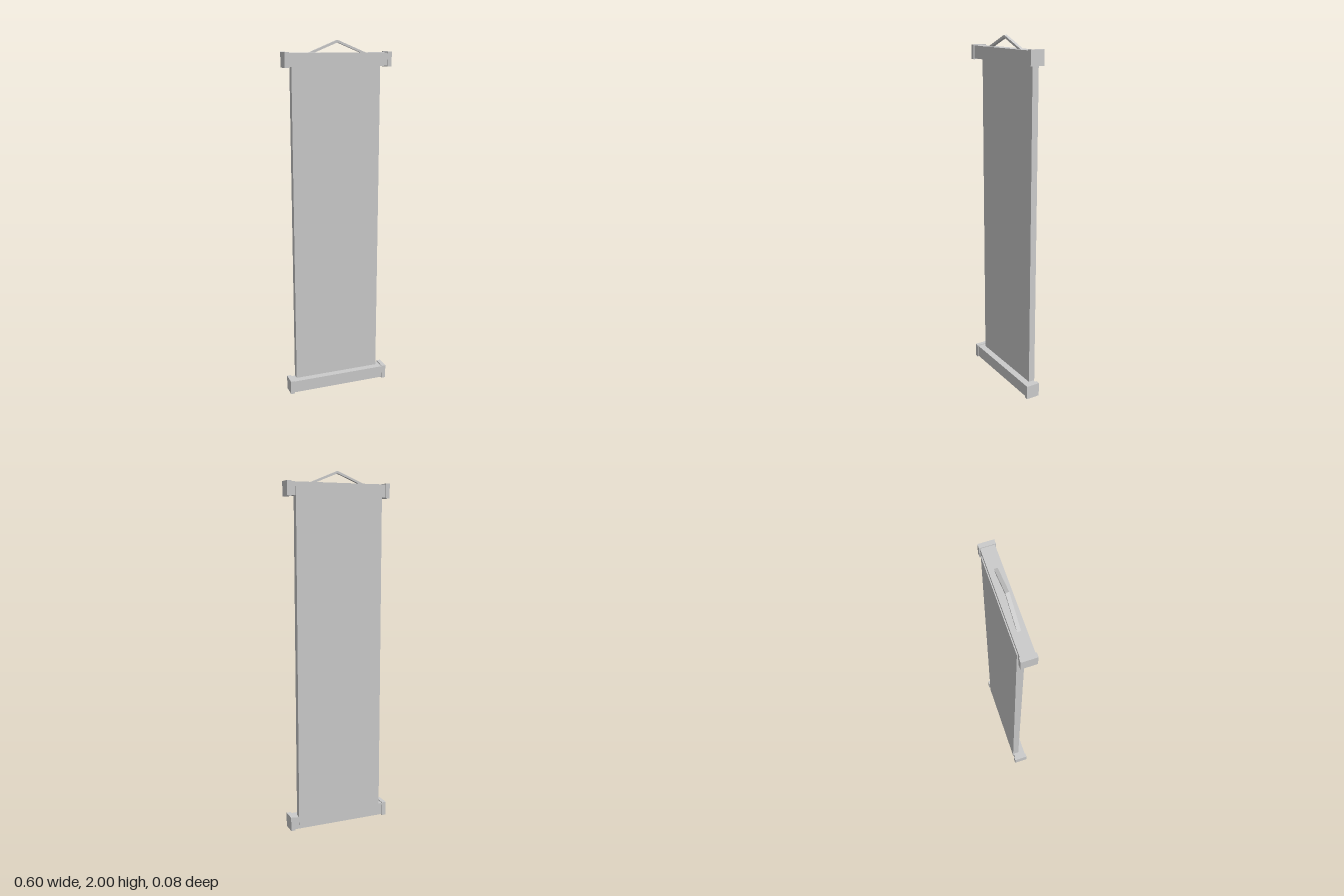
import * as THREE from 'three';

const material = new THREE.MeshStandardMaterial({ color: 0xcccccc, flatShading: true });

function addBox(parent, name, size, position) {
  const mesh = new THREE.Mesh(new THREE.BoxGeometry(...size), material);
  mesh.name = name;
  mesh.position.set(...position);
  parent.add(mesh);
}

// Square rod with a slightly larger block at each end
function createRod(name, y) {
  const rod = new THREE.Group();
  rod.name = name;
  rod.position.set(0, y, -0.001);
  addBox(rod, 'bar', [0.56, 0.07, 0.07], [0, 0, 0]);
  for (const side of [-1, 1]) {
    addBox(rod, side > 0 ? 'leftEndCap' : 'rightEndCap', [0.024, 0.08, 0.08], [side * 0.288, 0, 0]);
  }
  return rod;
}

// Shallow inverted V strap, tucked into the top rod
function createHanger() {
  const shape = new THREE.Shape([
    [-0.185, 1.925], [-0.155, 1.925], [0, 1.987], [0.155, 1.925], [0.185, 1.925], [0, 2],
  ].map(([x, y]) => new THREE.Vector2(x, y)));
  const geometry = new THREE.ExtrudeGeometry(shape, { depth: 0.018, bevelEnabled: false });
  geometry.translate(0, 0, -0.009);
  const hanger = new THREE.Mesh(geometry, material);
  hanger.name = 'hanger';
  return hanger;
}

export function createModel() {
  const group = new THREE.Group();
  group.name = 'hangingScroll';
  group.add(createRod('bottomRod', 0.041), createRod('topRod', 1.9), createHanger());

  // Long panel, just proud of the rods at the back
  addBox(group, 'panel', [0.504, 1.88, 0.037], [0, 0.97, -0.0225]);
  return group;
}
